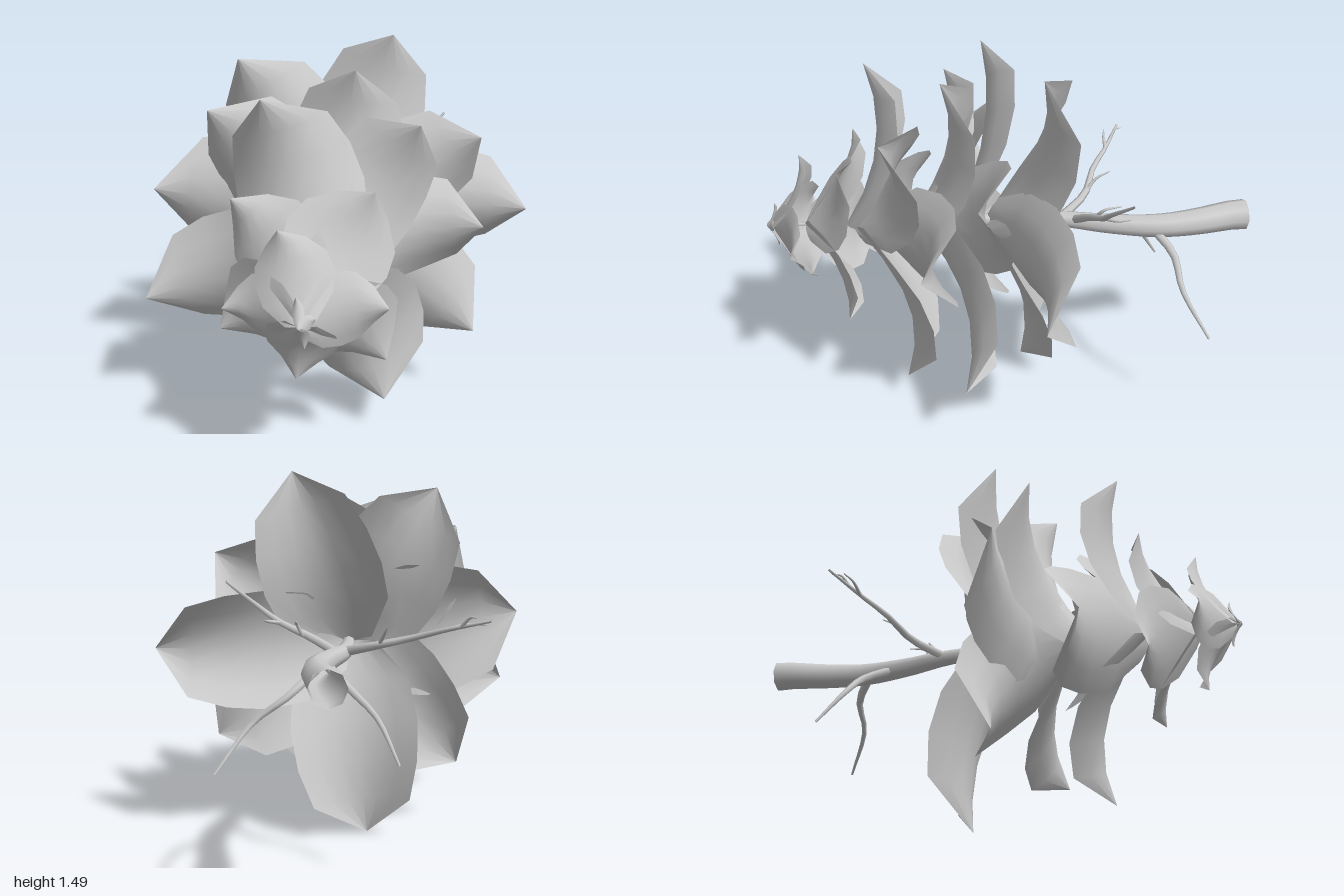
import * as THREE from 'three';

const material = new THREE.MeshStandardMaterial({ color: 0xcccccc, side: THREE.DoubleSide });
const AXIS = { x: -0.03, y: 0.785 };

// Half-widths of a leaf from root to tip, as a share of its widest point
const BROAD = [0.45, 0.93, 1, 0.93, 0.75, 0];
const POINTED = [0.4, 0.88, 1, 0.9, 0.5, 0];

// A leaf grows from the stem at rootZ, sweeps back, and lifts forward at its pointed tip.
// Its side edges bend back by "fold".
function leaf(name, [x, y, z], rootZ, halfWidth, { outline, lift, fold }) {
  const dx = x - AXIS.x, dy = y - AXIS.y, len = Math.hypot(dx, dy);
  const ux = dx / len, uy = dy / len;
  const rows = outline.length - 1, cols = 6;
  const pos = [], index = [];
  for (let i = 0; i <= rows; i++) {
    const t = i / rows;
    const cz = (1 - t) ** 2 * rootZ + 2 * t * (1 - t) * (z - lift) + t * t * z;
    const bend = i < rows ? fold * Math.min(1, 0.5 + t) : 0;
    for (let j = 0; j <= cols; j++) {
      const s = (j / cols) * 2 - 1;
      const w = s * halfWidth * outline[i];
      pos.push(AXIS.x + dx * t - uy * w, AXIS.y + dy * t + ux * w, cz - bend * s * s);
      if (i < rows && j < cols) {
        const a = i * (cols + 1) + j, b = a + cols + 1;
        index.push(a, b, a + 1);
        if (i < rows - 1) index.push(b, b + 1, a + 1);
      }
    }
  }
  const g = new THREE.BufferGeometry();
  g.setAttribute('position', new THREE.Float32BufferAttribute(pos, 3));
  g.setIndex(index);
  g.computeVertexNormals();
  const mesh = new THREE.Mesh(g, material);
  mesh.name = name;
  return mesh;
}

// Tube along a smooth path whose radius follows radiusAt(t)
function taperedTube(name, points, radiusAt, segments, sides) {
  const curve = new THREE.CatmullRomCurve3(points.map(p => new THREE.Vector3(...p)));
  const g = new THREE.TubeGeometry(curve, segments, 1, sides);
  const p = g.attributes.position, v = new THREE.Vector3();
  for (let i = 0; i < p.count; i++) {
    const t = Math.floor(i / (sides + 1)) / segments;
    const c = curve.getPointAt(t);
    v.fromBufferAttribute(p, i).sub(c).multiplyScalar(radiusAt(t)).add(c);
    p.setXYZ(i, v.x, v.y, v.z);
  }
  const mesh = new THREE.Mesh(g, material);
  mesh.name = name;
  return mesh;
}

export function createModel() {
  const model = new THREE.Group();
  model.name = 'leafyBranch';

  // Main stem, running through the rosette to the bud
  model.add(taperedTube('stem', [
    [-0.022, 0.79, -1], [-0.018, 0.79, -0.95], [0.025, 0.787, -0.78], [0.045, 0.785, -0.62],
    [0.02, 0.785, -0.42], [-0.03, 0.785, -0.2], [-0.03, 0.785, 0.3], [-0.03, 0.785, 0.99],
  ], t => (t < 0.42 ? 0.065 - 0.08 * t : 0.031 * (1 - t) / 0.58 + 0.002), 32, 8));

  // Bare twigs: path and starting radius
  const twigs = [
    [[[-0.03, 0.79, -0.23], [-0.15, 0.83, -0.34], [-0.3, 0.87, -0.39], [-0.42, 0.91, -0.46], [-0.57, 0.95, -0.53]], 0.02],
    [[[-0.01, 0.79, -0.28], [0.09, 0.86, -0.33], [0.2, 0.92, -0.37], [0.28, 0.98, -0.38], [0.39, 1.08, -0.45]], 0.02],
    [[[0.02, 0.78, -0.48], [-0.07, 0.71, -0.58], [-0.17, 0.61, -0.61], [-0.25, 0.46, -0.69]], 0.02],
    [[[0.05, 0.78, -0.6], [0.14, 0.7, -0.68], [0.26, 0.61, -0.7], [0.38, 0.45, -0.8]], 0.02],
    [[[-0.17, 0.835, -0.35], [-0.19, 0.88, -0.39], [-0.2, 0.91, -0.45]], 0.009],
    [[[-0.42, 0.91, -0.46], [-0.49, 0.93, -0.46], [-0.56, 0.93, -0.47]], 0.009],
    [[[-0.47, 0.925, -0.485], [-0.5, 0.96, -0.51], [-0.52, 0.96, -0.54]], 0.008],
    [[[0.12, 0.87, -0.35], [0.14, 0.92, -0.38], [0.13, 0.93, -0.45]], 0.009],
    [[[0.2, 0.92, -0.37], [0.24, 0.93, -0.42], [0.25, 0.94, -0.47]], 0.009],
  ];
  for (const [path, r] of twigs) {
    model.add(taperedTube('twig', path, t => r * (1 - 0.75 * t), 10, 6));
  }

  // Whorls of leaves from bud to base; each leaf: tip, root z, half-width
  const whorls = [
    { name: 'budLeaf', outline: POINTED, lift: 0, fold: 0.01, leaves: [
      [[-0.045, 0.88, 0.95], 0.99, 0.02], [[0.02, 0.81, 0.96], 0.99, 0.025],
      [[-0.02, 0.69, 0.95], 0.99, 0.025],
    ] },
    { name: 'tipLeaf', outline: POINTED, lift: 0.01, fold: 0.04, leaves: [
      [[-0.12, 1.06, 0.84], 0.97, 0.14], [[0.25, 0.8, 0.85], 0.97, 0.14],
      [[-0.07, 0.5, 0.84], 0.97, 0.13], [[-0.32, 0.76, 0.84], 0.97, 0.13],
    ] },
    { name: 'upperLeaf', outline: POINTED, lift: 0.01, fold: 0.05, leaves: [
      [[0.18, 1.13, 0.65], 0.83, 0.2], [[0.23, 0.48, 0.65], 0.83, 0.2],
      [[-0.38, 0.57, 0.65], 0.83, 0.2], [[-0.32, 1.08, 0.64], 0.83, 0.18],
    ] },
    { name: 'middleLeaf', outline: BROAD, lift: 0.12, fold: 0.1, leaves: [
      [[-0.22, 1.41, 0.56], 0.66, 0.24], [[0.32, 1.31, 0.47], 0.63, 0.21],
      [[0.21, 0.16, 0.43], 0.63, 0.27], [[-0.72, 0.57, 0.46], 0.63, 0.24],
      [[0.56, 0.88, 0.33], 0.54, 0.21],
    ] },
    { name: 'lowerLeaf', outline: BROAD, lift: 0.1, fold: 0.1, leaves: [
      [[0.07, 1.44, 0.25], 0.4, 0.23], [[-0.49, 1.27, 0.25], 0.4, 0.24],
      [[0.55, 0.35, 0.18], 0.36, 0.25], [[-0.5, 0.26, 0.1], 0.32, 0.24],
      [[0.54, 1.16, 0.12], 0.32, 0.22],
    ] },
    { name: 'baseLeaf', outline: BROAD, lift: 0.075, fold: 0.11, leaves: [
      [[-0.75, 0.91, 0.17], 0.26, 0.28], [[-0.4, 1.43, 0.09], 0.22, 0.25],
      [[0.18, 1.49, -0.13], 0.08, 0.24], [[0.75, 0.78, -0.11], 0.08, 0.24],
      [[-0.12, 0.0, -0.07], 0.1, 0.26],
    ] },
  ];
  for (const { name, leaves, ...shape } of whorls) {
    const whorl = new THREE.Group();
    whorl.name = name + 'Whorl';
    for (const [tip, rootZ, halfWidth] of leaves) {
      whorl.add(leaf(name, tip, rootZ, halfWidth, shape));
    }
    model.add(whorl);
  }
  return model;
}
